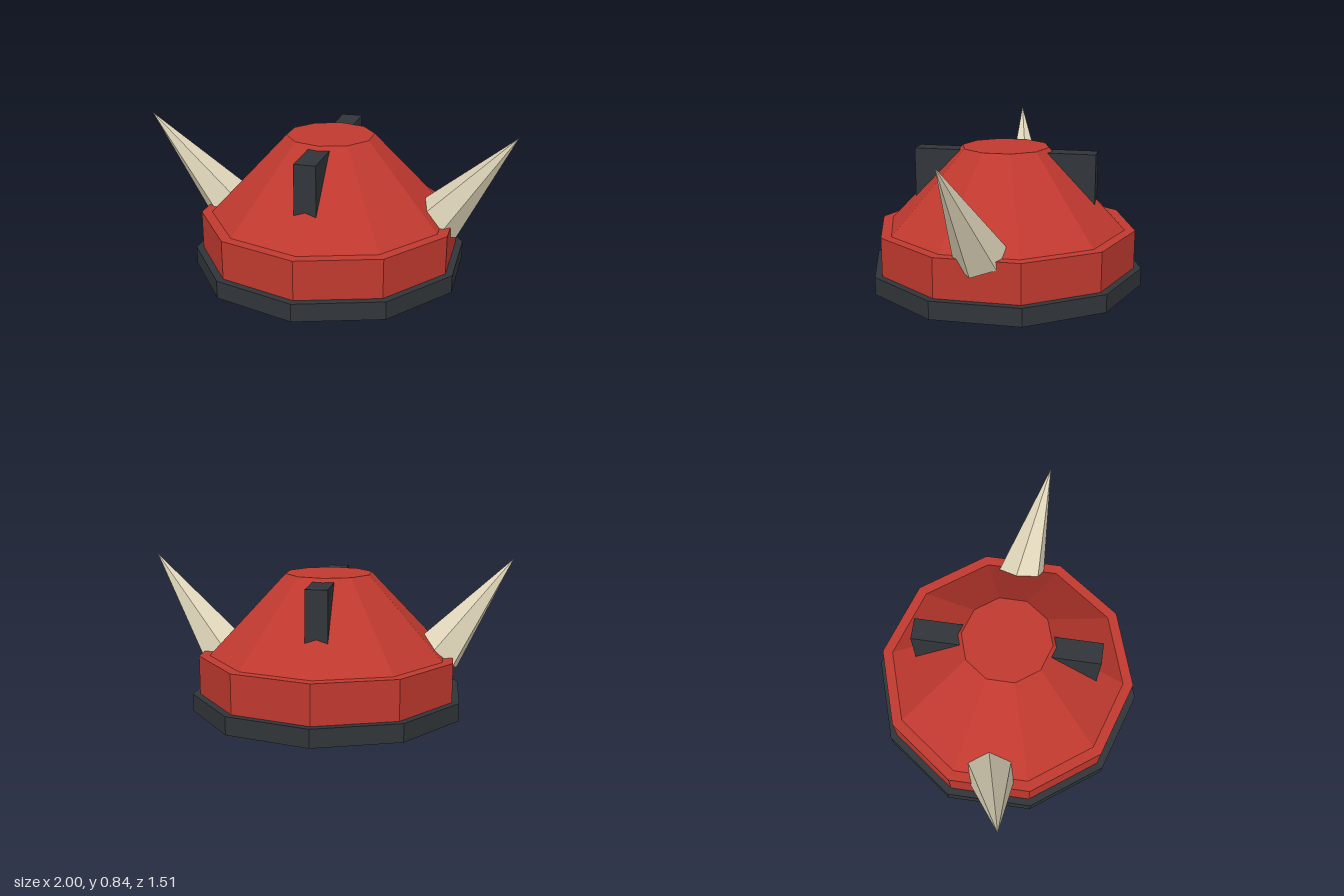
import * as THREE from 'three';

const SIDES = 10;

function material(color) {
  return new THREE.MeshStandardMaterial({ color, flatShading: true });
}

export function createModel() {
  const model = new THREE.Group();
  model.name = 'hornedHelmet';
  const red = material(0xc0392f);
  const dark = material(0x313539);
  const bone = material(0xe0d6ba);

  function add(name, geometry, mat, x = 0, y = 0, z = 0) {
    const mesh = new THREE.Mesh(geometry, mat);
    mesh.name = name;
    mesh.position.set(x, y, z);
    model.add(mesh);
    return mesh;
  }

  // Ten-sided tier between two heights
  function tier(name, rBottom, rTop, y0, y1, mat) {
    add(name, new THREE.CylinderGeometry(rTop, rBottom, y1 - y0, SIDES), mat, 0, (y0 + y1) / 2);
  }

  // Shell: straight band, sloping crown and dark rim
  tier('band', 0.717, 0.717, 0, 0.322, red);
  tier('crown', 0.66, 0.24, 0.322, 0.76, red);
  tier('rim', 0.757, 0.757, 0.013, 0.11, dark);

  // Fins at the front and back, sunk into the crown
  for (const s of [1, -1]) {
    add(s > 0 ? 'frontFin' : 'backFin',
      new THREE.BoxGeometry(0.116, 0.32, 0.36), dark, 0, 0.58, s * 0.32);
  }

  // Six-sided horns leaning outwards and slightly forwards
  for (const s of [1, -1]) {
    const base = new THREE.Vector3(s * 0.602, 0.324, 0);
    const tip = new THREE.Vector3(s, 0.84, 0.1);
    const axis = tip.clone().sub(base);
    const length = axis.length();
    axis.normalize();
    const forward = new THREE.Vector3(0, 0, 1).addScaledVector(axis, -axis.z).normalize();
    const across = new THREE.Vector3().crossVectors(axis, forward);

    const geometry = new THREE.ConeGeometry(0.138, length, 6, 1, false, s * THREE.MathUtils.degToRad(18));
    geometry.translate(0, length / 2, 0);
    geometry.applyMatrix4(new THREE.Matrix4().makeBasis(across, axis, forward));
    add(s > 0 ? 'leftHorn' : 'rightHorn', geometry, bone, base.x, base.y, base.z);
  }

  return model;
}
